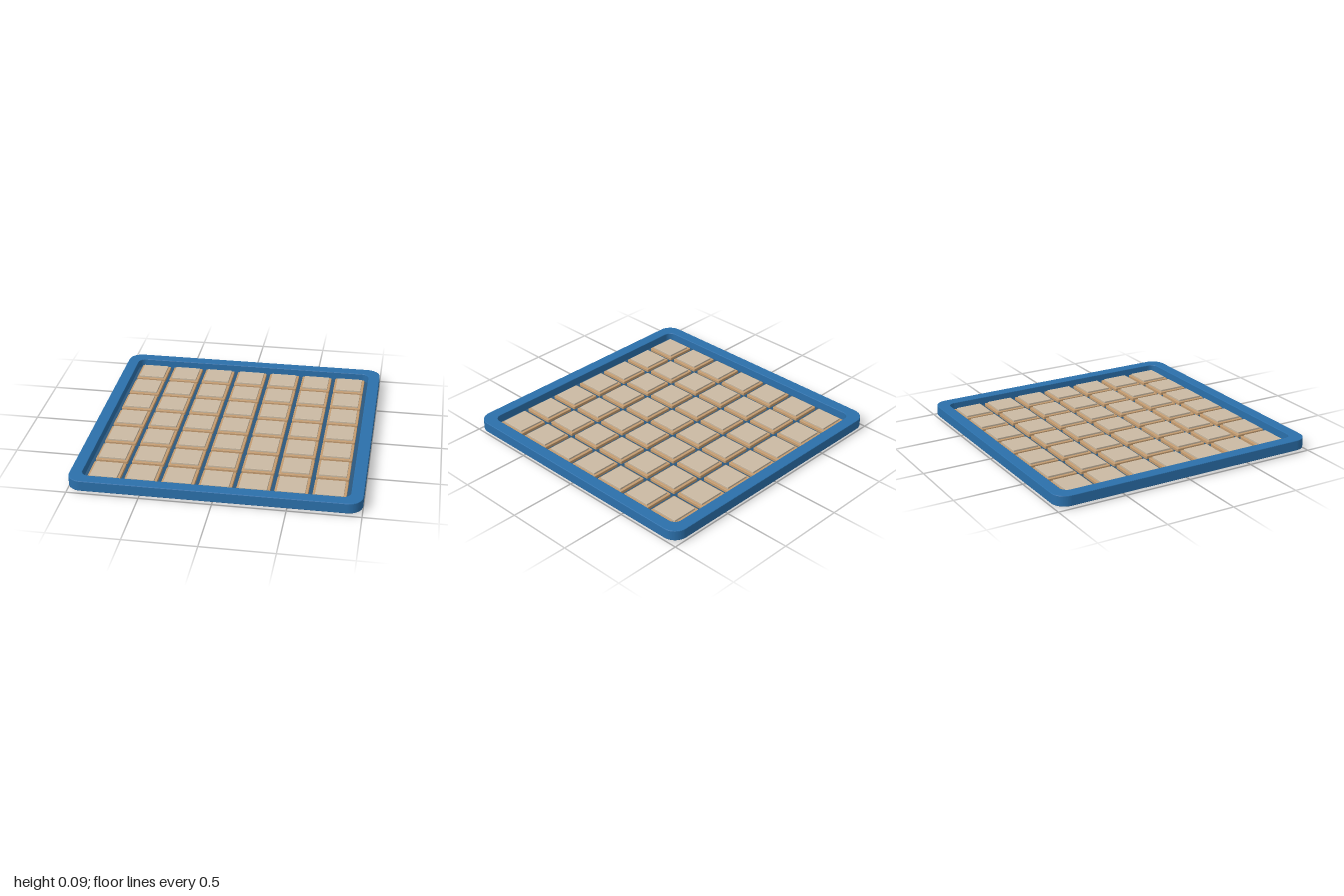
import * as THREE from 'three';

const mat = (name, color) => new THREE.MeshStandardMaterial({ name, color });

// Rounded square outline, half = half the side length
function roundedSquare(half, r, Type = THREE.Shape) {
  const s = new Type(), k = half - r;
  s.moveTo(-k, -half);
  s.lineTo(k, -half);
  s.absarc(k, -k, r, -Math.PI / 2, 0);
  s.lineTo(half, k);
  s.absarc(k, k, r, 0, Math.PI / 2);
  s.lineTo(-k, half);
  s.absarc(-k, k, r, Math.PI / 2, Math.PI);
  s.lineTo(-half, -k);
  s.absarc(-k, -k, r, Math.PI, Math.PI * 1.5);
  return s;
}

// Flat slab from y0 to y1 with a small bevel that stays inside the outline
function slab(shape, y0, y1, bevel) {
  const g = new THREE.ExtrudeGeometry(shape, {
    depth: y1 - y0 - 2 * bevel, curveSegments: 8, bevelEnabled: bevel > 0,
    bevelThickness: bevel, bevelSize: bevel, bevelOffset: -bevel, bevelSegments: 2,
  });
  g.rotateX(-Math.PI / 2);
  g.translate(0, y0 + bevel, 0);
  return g;
}

export function createModel() {
  const model = new THREE.Group();
  model.name = 'tileBoard';
  const frameBlue = mat('frame blue', 0x2b70ab);
  const baseBlue = mat('base dark blue', 0x2b587f);
  const rimWood = mat('tile rim wood', 0xc49c70);
  const faceTan = mat('tile face tan', 0xcbbaa3);

  const add = (name, geometry, material, parent = model) => {
    const mesh = new THREE.Mesh(geometry, material);
    mesh.name = name;
    parent.add(mesh);
    return mesh;
  };

  // Raised border around the board
  const border = roundedSquare(1, 0.1);
  border.holes.push(roundedSquare(0.915, 0.055, THREE.Path));
  add('frame', slab(border, 0.02, 0.095, 0.004), frameBlue);

  // Base plate, reaching slightly below the frame
  add('base', slab(roundedSquare(0.92, 0.06), 0, 0.035, 0.003), baseBlue);

  // Seven by seven tiles, each a wooden rim with a lighter raised face
  const rimGeo = slab(roundedSquare(0.114, 0.008), 0.034, 0.057, 0.003);
  const faceGeo = slab(roundedSquare(0.096, 0.004), 0.055, 0.07, 0.002);
  const tiles = new THREE.Group();
  tiles.name = 'tiles';
  model.add(tiles);
  for (let row = 0; row < 7; row++) {
    for (let col = 0; col < 7; col++) {
      const tile = new THREE.Group();
      tile.name = 'tile';
      tile.position.set((col - 3) * 0.257, 0, (row - 3) * 0.257);
      add('tileRim', rimGeo, rimWood, tile);
      add('tileFace', faceGeo, faceTan, tile);
      tiles.add(tile);
    }
  }
  return model;
}
